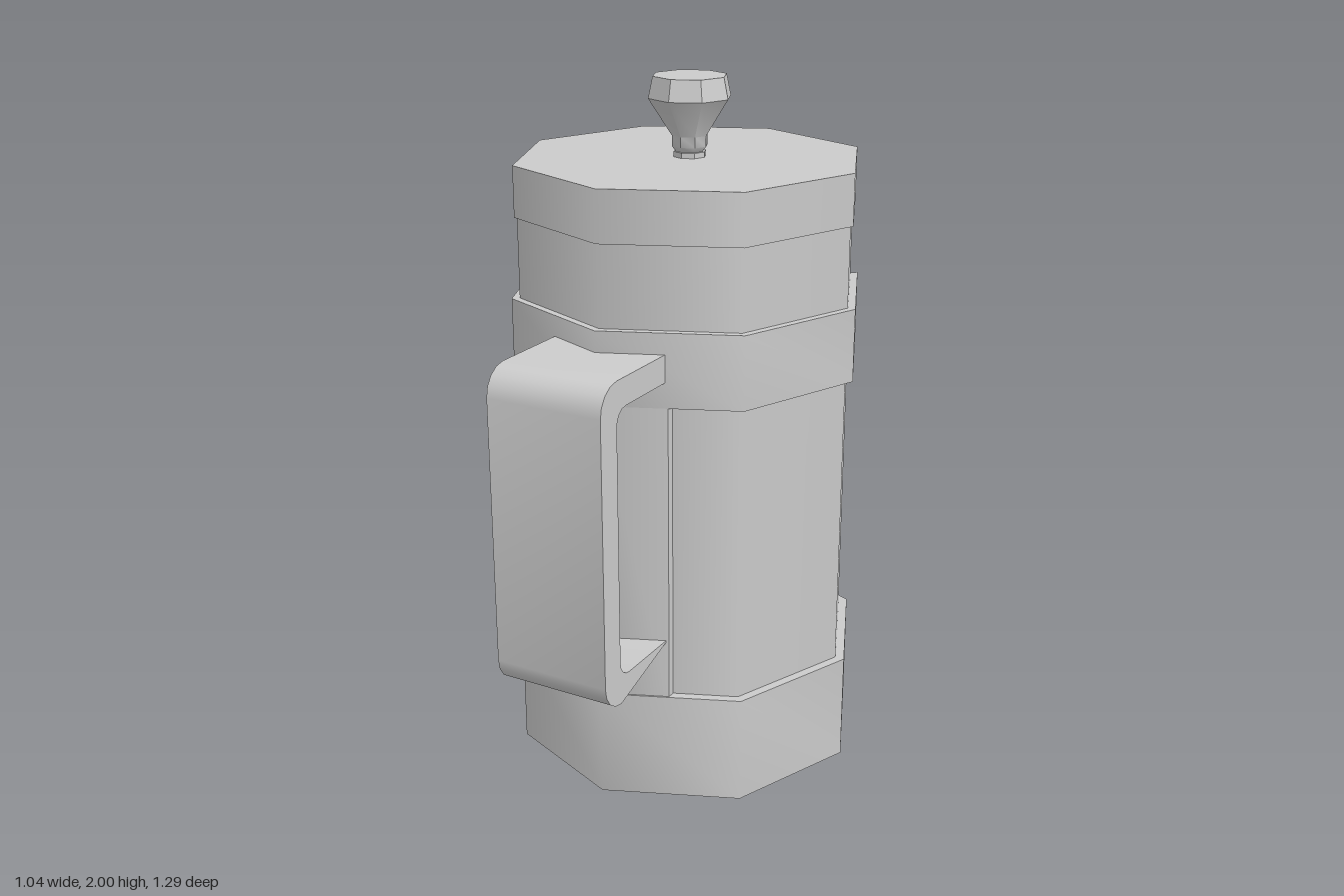
import * as THREE from 'three';
import { toCreasedNormals } from 'three/addons/utils/BufferGeometryUtils.js';

const SIDES = 8;
const STEP = (Math.PI * 2) / SIDES;
const SLOPE = Math.tan(STEP / 2); // fall of the wall beside a corner
const CREASE = Math.PI / 3;
const material = new THREE.MeshStandardMaterial({ color: 0xcccccc });
const thinMaterial = new THREE.MeshStandardMaterial({ color: 0xcccccc, side: THREE.DoubleSide });

function addMesh(parent, name, geometry, mat = material) {
  const mesh = new THREE.Mesh(geometry, mat);
  mesh.name = name;
  parent.add(mesh);
  return mesh;
}

// Octagonal drum between two heights, with a corner on +z.
function drum(radius, y0, y1) {
  return new THREE.CylinderGeometry(radius, radius, y1 - y0, SIDES).translate(0, (y0 + y1) / 2, 0);
}

// Plan outline given as [x, z] points, raised from y0 to y1.
function slab(outline, y0, y1, hole) {
  const toPlan = ([x, z]) => new THREE.Vector2(x, -z);
  const shape = new THREE.Shape(outline.map(toPlan));
  if (hole) shape.holes.push(new THREE.Path(hole.map(toPlan)));
  const geometry = new THREE.ExtrudeGeometry(shape, { depth: y1 - y0, bevelEnabled: false });
  return toCreasedNormals(geometry.rotateX(-Math.PI / 2).translate(0, y0, 0), CREASE);
}

// Octagon corners from index a to b, counted from the +z corner.
function corners(radius, a, b) {
  const points = [];
  for (let i = a; i <= b; i++) points.push([radius * Math.sin(i * STEP), radius * Math.cos(i * STEP)]);
  return points;
}

// C-shaped grip with rounded corners, running out along +z.
function handleGeometry() {
  const near = 0.43, far = 0.773, low = 0.42, high = 1.34, t = 0.078, R = 0.08, r = 0.045;
  const q = Math.PI / 2;
  const s = new THREE.Shape();
  s.moveTo(near, low);
  s.absarc(far - R, low + R, R, -q, 0, false);
  s.absarc(far - R, high - R, R, 0, q, false);
  s.lineTo(near, high);
  s.lineTo(near, high - t);
  s.absarc(far - t - r, high - t - r, r, q, 0, true);
  s.absarc(far - t - r, low + t + r, r, 0, -q, true);
  s.lineTo(near, low + t);
  const width = 0.345;
  const geometry = new THREE.ExtrudeGeometry(s, { depth: width, bevelEnabled: false, curveSegments: 2 });
  return toCreasedNormals(geometry.translate(0, 0, -width / 2).rotateY(-Math.PI / 2), CREASE);
}

// Pulled lip on the -z corner: one half as triangles, then mirrored.
function spoutGeometry() {
  const p = {
    base: [0, 1.37, -0.497],
    tipMid: [0, 1.58, -0.606],
    tip: [0.015, 1.58, -0.606],
    side: [0.16, 1.62, -0.445],
    wall: [0.351, 1.63, -0.352],
    innerTip: [0, 1.58, -0.562],
    innerSide: [0.12, 1.62, -0.447],
    innerBase: [0, 1.42, -0.497],
  };
  const triangles = [
    ['base', 'tipMid', 'tip'], ['base', 'tip', 'side'], ['base', 'side', 'wall'],
    ['tipMid', 'innerTip', 'tip'], ['tip', 'innerTip', 'innerSide'], ['tip', 'innerSide', 'side'],
    ['side', 'innerSide', 'wall'], ['innerBase', 'innerSide', 'innerTip'],
  ];
  const positions = [];
  for (const mirror of [1, -1]) {
    for (const tri of triangles) {
      const order = mirror > 0 ? tri : [...tri].reverse();
      for (const key of order) positions.push(p[key][0] * mirror, p[key][1], p[key][2]);
    }
  }
  const geometry = new THREE.BufferGeometry();
  geometry.setAttribute('position', new THREE.Float32BufferAttribute(positions, 3));
  geometry.computeVertexNormals();
  return geometry;
}

export function createModel() {
  const model = new THREE.Group();
  model.name = 'coffeePress';
  const press = new THREE.Group();
  press.name = 'press';
  press.position.set(0.015, 0, -0.115);
  press.rotation.y = -Math.PI / 6;
  model.add(press);

  // Beaker and its pouring lip
  addMesh(press, 'beaker', drum(0.497, 0.015, 1.64));
  addMesh(press, 'spout', spoutGeometry(), thinMaterial);

  // Base ring around the foot
  addMesh(press, 'baseRing', slab(corners(0.525, 0, 7), 0, 0.32, corners(0.49, 0, 7)));

  // Open band: three faces each side of the handle corner
  const band = [...corners(0.52, -3, 3), ...corners(0.485, -3, 3).reverse()];
  addMesh(press, 'band', slab(band, 1.19, 1.4));

  // Strap joining base and band behind the handle
  const w = 0.18;
  const strap = [[-w, 0.52 - w * SLOPE], [0, 0.52], [w, 0.52 - w * SLOPE],
    [w, 0.485 - w * SLOPE], [0, 0.485], [-w, 0.485 - w * SLOPE]];
  addMesh(press, 'handleStrap', slab(strap, 0.31, 1.2));
  addMesh(press, 'handle', handleGeometry());

  // Lid and knob
  addMesh(press, 'lid', drum(0.505, 1.63, 1.775));
  const knobProfile = [[0, 1.77], [0.047, 1.77], [0.047, 1.79], [0.04, 1.79], [0.052, 1.805],
    [0.052, 1.835], [0.12, 1.94], [0.107, 2], [0, 2]].map(([r, y]) => new THREE.Vector2(r, y));
  addMesh(press, 'knob', toCreasedNormals(new THREE.LatheGeometry(knobProfile, SIDES), 0.7));

  return model;
}
